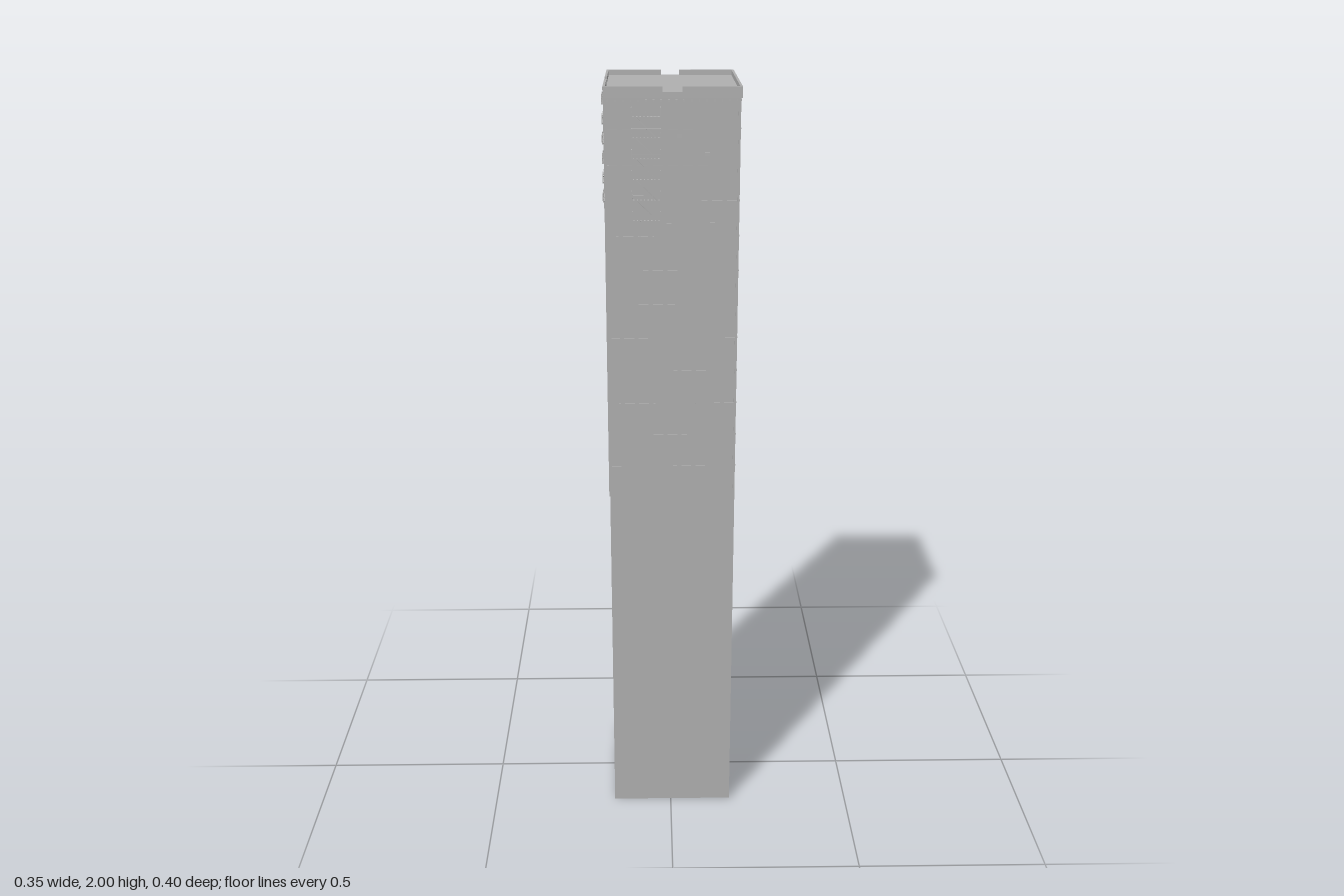
import * as THREE from 'three';
import { mergeGeometries } from 'three/addons/utils/BufferGeometryUtils.js';

const X0 = -0.16, X1 = 0.168, Z0 = -0.196, Z1 = 0.182;
const CX = (X0 + X1) / 2, CZ = (Z0 + Z1) / 2;

// Each wall: running axis, plane position, outward sign, and its extent
const WALLS = {
  front: { axis: 'x', plane: Z1, out: 1, from: X0, to: X1 },
  back: { axis: 'x', plane: Z0, out: -1, from: X0, to: X1 },
  right: { axis: 'z', plane: X1, out: 1, from: Z0, to: Z1 },
  left: { axis: 'z', plane: X0, out: -1, from: Z0, to: Z1 },
};

// Box on a wall: u along it, y up, w outward; tilt leans it in the wall plane
function wallBox(name, u, y, w, su, sy, sw, tilt = 0) {
  const { axis, plane, out } = WALLS[name];
  const d = plane + out * w;
  if (axis === 'x') {
    return new THREE.BoxGeometry(su, sy, sw).rotateZ(tilt).translate(u, y, d);
  }
  return new THREE.BoxGeometry(sw, sy, su).rotateX(-tilt).translate(d, y, u);
}

export function createModel() {
  const model = new THREE.Group();
  const concrete = new THREE.MeshStandardMaterial({ color: 0xb0b0b0, side: THREE.DoubleSide });
  concrete.name = 'concrete grey';

  const add = (name, parts) => {
    const mesh = new THREE.Mesh(mergeGeometries(parts), concrete);
    mesh.name = name;
    model.add(mesh);
  };

  // Tower shell, open underneath
  const shell = new THREE.BoxGeometry(X1 - X0, 1.986, Z1 - Z0).translate(CX, 0.993, CZ);
  shell.setIndex([...shell.index.array].filter((_, i) => i < 18 || i > 23));
  add('tower', [shell]);

  // Cornice slab
  add('cornice', [
    new THREE.BoxGeometry(X1 - X0 + 0.006, 0.014, Z1 - Z0 + 0.006).translate(CX, 1.98, CZ),
  ]);

  // Parapet with a gap on three sides
  const gaps = { front: [-0.02, 0.027], back: [-0.02, 0.027], left: [-0.033, 0.02] };
  const parapet = [];
  for (const [name, wall] of Object.entries(WALLS)) {
    const a = wall.from - 0.003, b = wall.to + 0.003;
    const spans = gaps[name] ? [[a, gaps[name][0]], [gaps[name][1], b]] : [[a, b]];
    for (const [s, e] of spans) {
      parapet.push(wallBox(name, (s + e) / 2, 1.993, 0, e - s, 0.014, 0.006));
    }
  }
  add('parapet', parapet);

  // Window sills in rows and dentils beneath the cornice
  const sills = [], dentils = [];
  for (const [name, wall] of Object.entries(WALLS)) {
    const span = wall.to - wall.from;
    const count = 9, step = span / count;
    for (let row = 0; row < 11; row++) {
      for (let i = 0; i < count; i++) {
        const u = wall.from + step * (i + 0.5);
        sills.push(wallBox(name, u, 1.03 + row * 0.087, 0.0005, step * 0.7, 0.003, 0.002));
      }
    }
    for (let i = 0; i < 18; i++) {
      const u = wall.from + span * (i + 0.5) / 18;
      dentils.push(wallBox(name, u, 1.967, 0.0005, 0.005, 0.006, 0.002));
    }
  }
  add('windowSills', sills);
  add('dentils', dentils);

  // Drainpipes down to mid-height
  const pipes = [
    ['back', 0.088], ['back', 0.164], ['left', -0.08], ['left', 0.178],
    ['right', 0.14], ['front', 0.164],
  ];
  add('drainpipes', pipes.map(([name, u]) => wallBox(name, u, 1.46, 0.001, 0.004, 1.03, 0.003)));

  // Window air units
  const units = {
    front: [[0.02, 1.885], [0.088, 1.84], [-0.005, 1.668], [0.102, 1.669], [0.102, 1.627]],
    right: [[0.09, 1.8], [0.098, 1.755], [-0.065, 1.795], [-0.112, 1.785], [-0.146, 1.613]],
    back: [[-0.1, 1.76], [-0.055, 1.84], [-0.037, 1.8], [0.01, 1.9], [0.08, 1.84]],
    left: [[-0.14, 1.84], [-0.015, 1.76], [0.08, 1.84]],
  };
  const airUnits = [];
  for (const [name, list] of Object.entries(units)) {
    for (const [u, y] of list) airUnits.push(wallBox(name, u, y, 0.002, 0.012, 0.01, 0.005));
  }
  add('airUnits', airUnits);

  // Fire escapes: slatted landings, rails and zigzag stairs
  const fireEscape = (name, mid) => {
    const parts = [], half = 0.035, depth = 0.013, pitch = 0.05;
    for (let k = 0; k < 6; k++) {
      const y = 1.68 + k * pitch;
      for (const h of [0, 0.012, 0.022]) {
        parts.push(wallBox(name, mid, y + h, depth, half * 2, 0.0015, 0.0015));
        for (const s of [-1, 1]) {
          parts.push(wallBox(name, mid + s * half, y + h, depth / 2, 0.0015, 0.0015, depth));
        }
      }
      for (let i = 0; i < 8; i++) {
        const u = mid - half + half * 2 * (i + 0.5) / 8;
        parts.push(wallBox(name, u, y, depth / 2, 0.003, 0.0015, depth));
      }
      for (const s of [-1, 0, 1]) {
        parts.push(wallBox(name, mid + s * half, y + 0.011, depth, 0.0015, 0.022, 0.0015));
      }
      if (k < 5) {
        const tilt = Math.atan2(pitch, 0.05);
        for (const w of [0.005, 0.01]) {
          parts.push(wallBox(name, mid, y + pitch / 2, w, 0.07, 0.002, 0.0015, -tilt));
        }
      }
    }
    // Drop ladder
    for (const s of [-1, 1]) {
      parts.push(wallBox(name, mid - 0.02 + s * 0.004, 1.66, 0.011, 0.0015, 0.045, 0.0015));
    }
    return parts;
  };
  add('frontFireEscape', fireEscape('front', -0.06));
  add('sideFireEscape', fireEscape('left', -0.085));

  return model;
}
